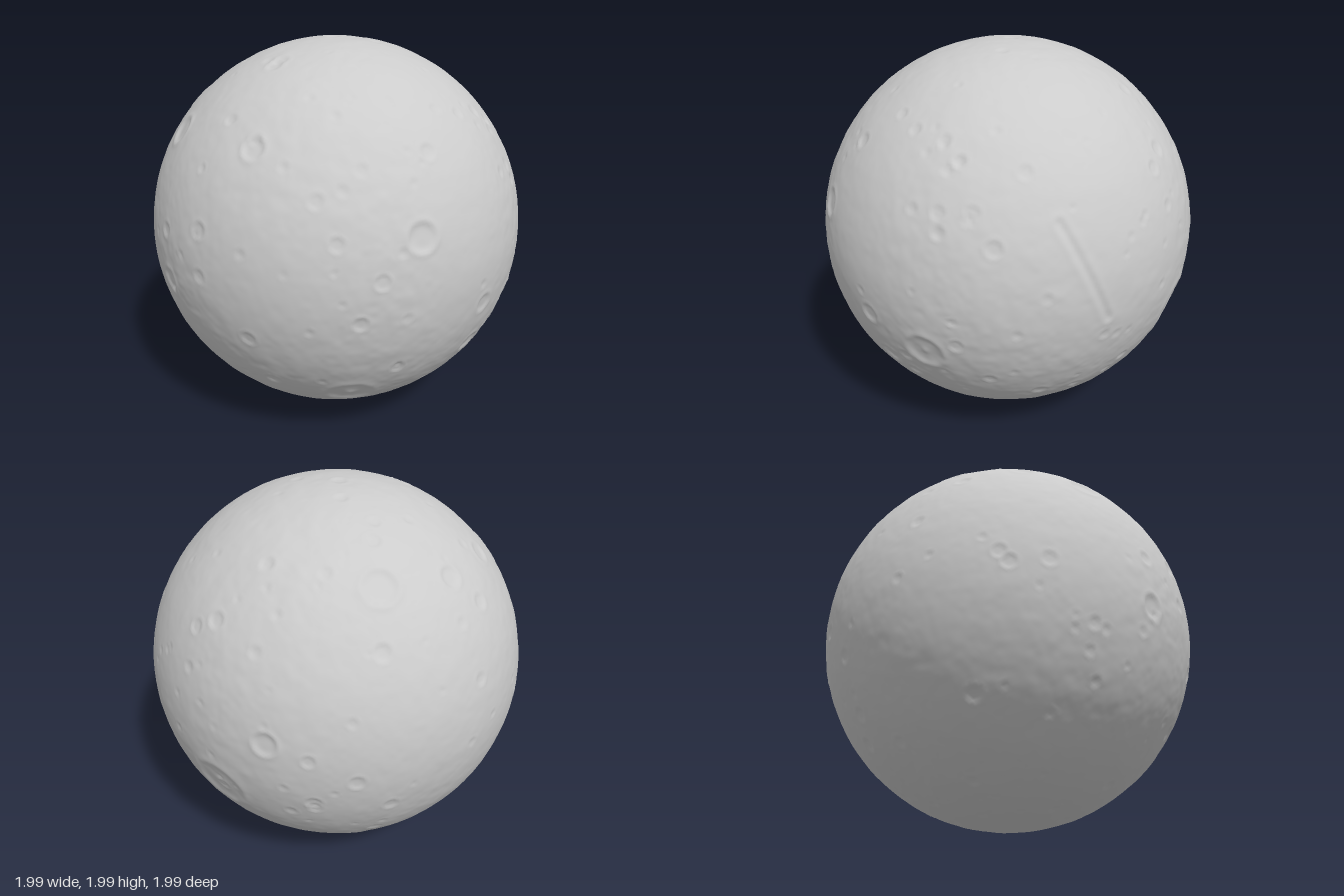
import * as THREE from 'three';
import { mergeVertices } from 'three/addons/utils/BufferGeometryUtils.js';

const RADIUS = 0.993;

// Direction of a spot on the disc facing (azimuth, elevation), u across and v up
function spot(az, el, u, v) {
  const a = THREE.MathUtils.degToRad(az), e = THREE.MathUtils.degToRad(el);
  const right = new THREE.Vector3(Math.cos(a), 0, -Math.sin(a));
  const out = new THREE.Vector3(Math.sin(a) * Math.cos(e), Math.sin(e), Math.cos(a) * Math.cos(e));
  const up = out.clone().cross(right);
  return right.multiplyScalar(u).addScaledVector(up, v)
    .addScaledVector(out, Math.sqrt(1 - u * u - v * v)).normalize();
}

// Smooth value noise on a lattice
function hash(x, y, z) {
  let h = Math.imul(x, 374761393) ^ Math.imul(y, 668265263) ^ Math.imul(z, 2147483629);
  h = Math.imul(h ^ (h >>> 13), 1274126177);
  return ((h ^ (h >>> 16)) >>> 0) / 2147483648 - 1;
}
function noise(p, scale) {
  const x = p.x * scale, y = p.y * scale, z = p.z * scale;
  const i = Math.floor(x), j = Math.floor(y), k = Math.floor(z);
  const ease = (t) => t * t * (3 - 2 * t), mix = THREE.MathUtils.lerp;
  const a = ease(x - i), b = ease(y - j), c = ease(z - k);
  const row = (dy, dz) => mix(hash(i, j + dy, k + dz), hash(i + 1, j + dy, k + dz), a);
  return mix(mix(row(0, 0), row(1, 0), b), mix(row(0, 1), row(1, 1), b), c);
}

// Crater section: bowl, raised rim fading outwards, central peak in the large ones
function craterHeight(t, r) {
  const depth = Math.min(0.12 * r, 0.009);
  const rim = 0.45 * depth * Math.exp(-(((t - 1) / 0.22) ** 2));
  const bowl = t < 1 ? -depth * (1 - t ** 4) : 0;
  const peak = r > 0.09 ? 0.7 * depth * Math.exp(-((t / 0.2) ** 2)) : 0;
  return rim + bowl + peak;
}

function makeCraters() {
  const list = [];
  const add = (az, el, u, v, r) => list.push({ dir: spot(az, el, u, v), r });
  // Main craters on the left side
  add(90, 0, 0.41, -0.3, 0.105);
  add(90, 0, -0.44, -0.64, 0.125);
  add(90, 0, 0.14, -0.45, 0.065);
  add(90, 0, 0.25, -0.52, 0.045);
  add(90, 0, 0.12, -0.18, 0.055);
  add(90, 0, -0.28, 0.26, 0.075);
  add(90, 0, -0.55, -0.12, 0.04);
  // Front
  add(0, 0, -0.11, -0.11, 0.065);
  add(0, 0, 0.3, 0.61, 0.06);
  // Top
  add(0, 90, -0.68, -0.21, 0.06);
  add(0, 90, -0.5, -0.53, 0.06);
  add(0, 90, 0.04, -0.42, 0.045);
  add(0, 90, -0.29, -0.76, 0.08);
  add(0, 90, -0.66, 0.16, 0.09);
  // Back
  add(210, 25, 0.19, -0.33, 0.065);
  add(210, 25, 0.59, 0.2, 0.045);
  add(210, 25, -0.12, -0.67, 0.15);

  // Scattered minor craters, evenly spread with mostly small sizes
  let seed = 4217;
  const rand = () => (seed = (seed * 16807) % 2147483647) / 2147483647;
  for (let i = 0; i < 200; i++) {
    const y = rand() * 2 - 1, a = rand() * Math.PI * 2, s = Math.sqrt(1 - y * y);
    list.push({ dir: new THREE.Vector3(s * Math.cos(a), y, s * Math.sin(a)), r: 0.02 + 0.025 * rand() ** 2 });
  }
  return list;
}

// Long shallow trough with raised banks between two directions
function troughHeight(p, from, to) {
  const span = to.clone().sub(from);
  const t = THREE.MathUtils.clamp(p.clone().sub(from).dot(span) / span.lengthSq(), 0, 1);
  const d = p.distanceTo(from.clone().addScaledVector(span, t).normalize()) / 0.018;
  return -0.005 * Math.exp(-d * d) + 0.003 * Math.exp(-((d - 1.7) ** 2));
}

export function createModel() {
  const sphere = new THREE.IcosahedronGeometry(1, 84);
  sphere.deleteAttribute('uv');
  sphere.deleteAttribute('normal');
  const surface = mergeVertices(sphere, 1e-5);
  const pos = surface.attributes.position;
  const craters = makeCraters();
  const troughStart = spot(140, -30, 0.22, 0.78), troughEnd = spot(140, -30, 0.46, 0.35);
  const p = new THREE.Vector3();

  for (let i = 0; i < pos.count; i++) {
    p.fromBufferAttribute(pos, i).normalize();
    // Rolling ground with finer roughness, calmer in some areas
    const rough = 0.6 + 0.4 * noise(p, 2);
    let h = 0.0015 * noise(p, 6) + rough * (0.0022 * noise(p, 16) + 0.0014 * noise(p, 34));
    for (const { dir, r } of craters) {
      const d = p.distanceTo(dir);
      if (d < r * 1.7) h += craterHeight(d / r, r);
    }
    h += troughHeight(p, troughStart, troughEnd);
    p.multiplyScalar(RADIUS + h);
    pos.setXYZ(i, p.x, p.y, p.z);
  }
  surface.computeVertexNormals();
  surface.computeBoundingBox();

  const moon = new THREE.Mesh(surface, new THREE.MeshStandardMaterial({ color: 0xcccccc }));
  moon.name = 'crateredSurface';
  // Rest the lowest point on the ground
  moon.position.y = -surface.boundingBox.min.y;
  const group = new THREE.Group();
  group.name = 'moon';
  group.add(moon);
  return group;
}
